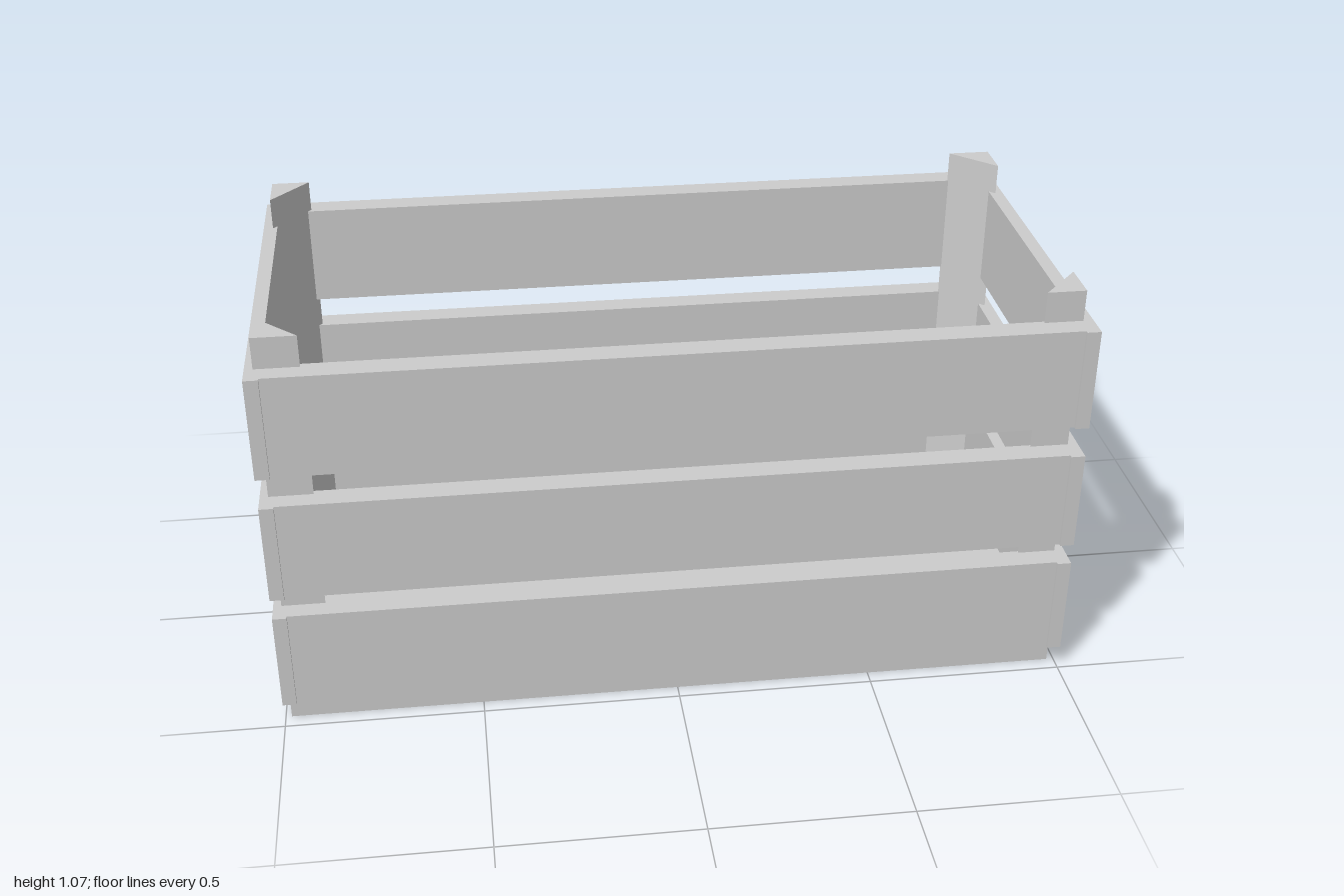
import * as THREE from 'three';

const material = new THREE.MeshStandardMaterial({ color: 0xcccccc, flatShading: true });

// Board given by its lower and upper limits on each axis
function board(name, [x0, x1], [y0, y1], [z0, z1]) {
  const mesh = new THREE.Mesh(new THREE.BoxGeometry(x1 - x0, y1 - y0, z1 - z0), material);
  mesh.position.set((x0 + x1) / 2, (y0 + y1) / 2, (z0 + z1) / 2);
  mesh.name = name;
  return mesh;
}

// Upright triangular post: right angle at (x, z), legs pointing into the crate
function cornerPost(name, x, z, legX, legZ) {
  const bottom = 0.062, top = 1.07;
  const shape = new THREE.Shape([
    new THREE.Vector2(x, -z),
    new THREE.Vector2(x - Math.sign(x) * legX, -z),
    new THREE.Vector2(x, -z + Math.sign(z) * legZ),
  ]);
  const geometry = new THREE.ExtrudeGeometry(shape, { depth: top - bottom, bevelEnabled: false });
  geometry.rotateX(-Math.PI / 2).translate(0, bottom, 0);
  const mesh = new THREE.Mesh(geometry, material);
  mesh.name = name;
  return mesh;
}

export function createModel() {
  const crate = new THREE.Group();
  crate.name = 'slattedCrate';

  // Floor slats
  for (const z of [[0.184, 0.462], [-0.162, 0.105], [-0.49, -0.213]]) {
    crate.add(board('floorSlat', [-0.985, 0.982], [0, 0.062], z));
  }

  // Three tiers of wall boards; the end boards cap the long ones
  for (const y of [[0.068, 0.331], [0.386, 0.647], [0.727, 0.99]]) {
    crate.add(
      board('frontBoard', [-0.965, 0.965], y, [0.433, 0.494]),
      board('backBoard', [-0.965, 0.965], y, [-0.5, -0.44]),
      board('leftEndBoard', [0.965, 1], y, [-0.502, 0.502]),
      board('rightEndBoard', [-1, -0.965], y, [-0.502, 0.502]),
    );
  }

  // Corner posts
  crate.add(
    cornerPost('frontLeftPost', 0.975, 0.44, 0.096, 0.105),
    cornerPost('frontRightPost', -0.98, 0.447, 0.107, 0.105),
    cornerPost('backLeftPost', 0.98, -0.442, 0.108, 0.105),
    cornerPost('backRightPost', -0.976, -0.45, 0.096, 0.11),
  );
  return crate;
}
